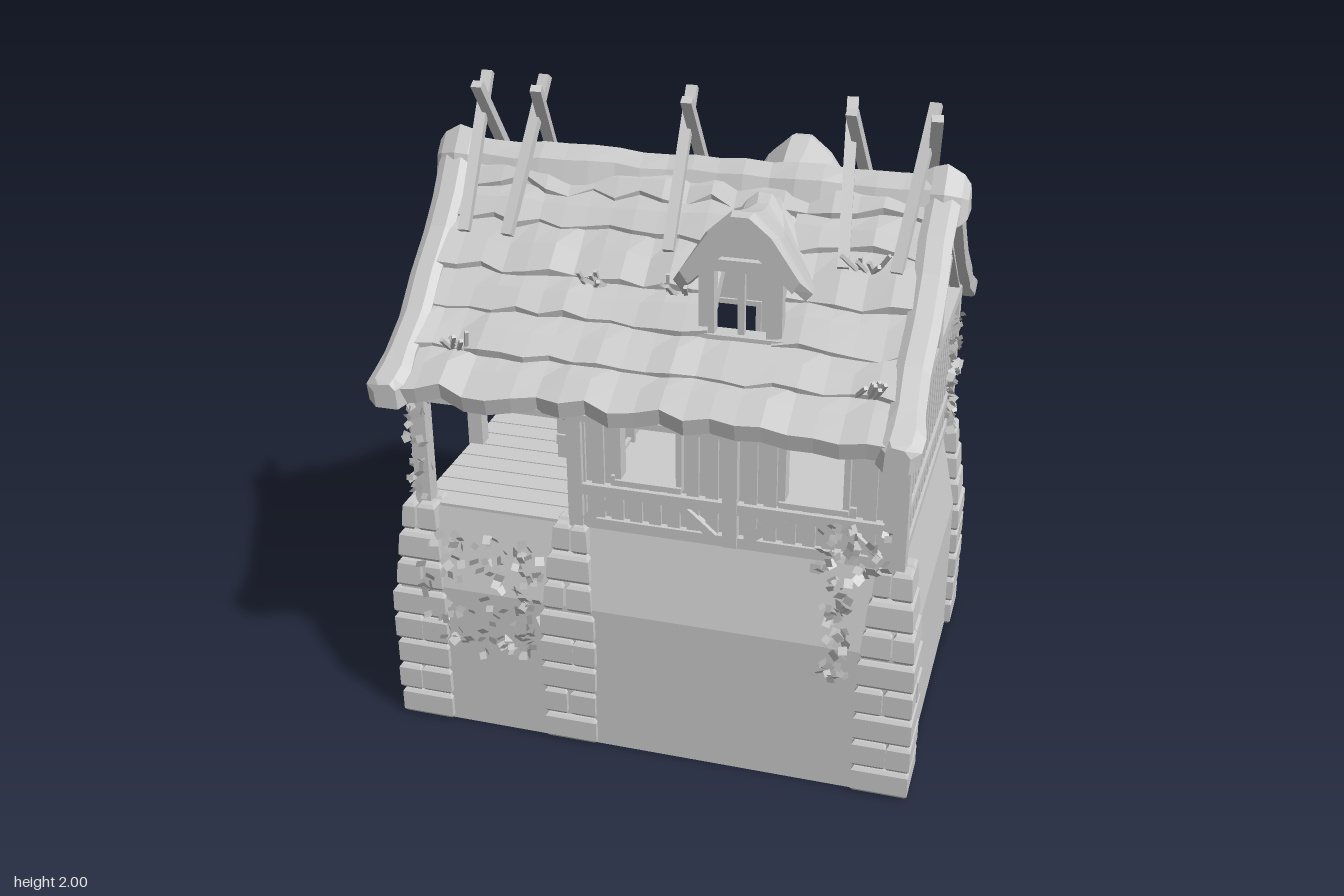
import * as THREE from 'three';
import { mergeGeometries } from 'three/addons/utils/BufferGeometryUtils.js';

const solid = new THREE.MeshStandardMaterial({ color: 0xcccccc, flatShading: true });
const sheet = new THREE.MeshStandardMaterial({ color: 0xcccccc, flatShading: true, side: THREE.DoubleSide });
const V = (x, y, z) => new THREE.Vector3(x, y, z);

let seed = 7;
const rnd = () => (seed = (seed * 16807) % 2147483647) / 2147483647;
const jit = (a) => (rnd() - 0.5) * 2 * a;

function add(parent, name, geo, mat = solid) {
  const m = new THREE.Mesh(geo, mat);
  m.name = name;
  parent.add(m);
  return m;
}
function part(parent, name) {
  const g = new THREE.Group();
  g.name = name;
  parent.add(g);
  return g;
}
// Box given by its minimum and maximum corners
function box(parent, name, x0, x1, y0, y1, z0, z1) {
  const m = add(parent, name, new THREE.BoxGeometry(x1 - x0, y1 - y0, z1 - z0));
  m.position.set((x0 + x1) / 2, (y0 + y1) / 2, (z0 + z1) / 2);
  return m;
}
// Square timber between two points of the parent's space
function beam(parent, name, a, b, w = 0.03, d = w) {
  const m = add(parent, name, new THREE.BoxGeometry(w, d, a.distanceTo(b)));
  m.position.copy(a).add(b).multiplyScalar(0.5);
  m.quaternion.setFromRotationMatrix(new THREE.Matrix4().lookAt(b, a, m.up));
}
// Skin over closed rings of points
function loft(rings, caps = true) {
  const n = rings[0].length, idx = [];
  for (let r = 0; r < rings.length - 1; r++)
    for (let i = 0; i < n; i++) {
      const a = r * n + i, b = r * n + (i + 1) % n;
      idx.push(a, b, a + n, b, b + n, a + n);
    }
  if (caps) for (const o of [0, (rings.length - 1) * n])
    for (let i = 1; i < n - 1; i++) idx.push(o, o + i, o + i + 1);
  const g = new THREE.BufferGeometry().setFromPoints(rings.flat());
  g.setIndex(idx);
  const flat = g.toNonIndexed();
  flat.computeVertexNormals();
  return flat;
}

// Height of the roof surface at a distance z from the ridge
const PROFILE = [[0, 1.79], [0.1, 1.68], [0.22, 1.55], [0.44, 1.36], [0.67, 1.215]];
function roofY(z) {
  let i = 0;
  while (i < 3 && z > PROFILE[i + 1][0]) i++;
  const [a, ya] = PROFILE[i], [b, yb] = PROFILE[i + 1];
  return ya + (yb - ya) * (z - a) / (b - a);
}

// Tapered stone pier of uneven blocks, each a little rounded off at top and bottom
function pier(parent, cx, cz) {
  const g = part(parent, 'stonePier');
  const taper = (y) => Math.max(0, (y - 0.47) / 0.3);
  for (let k = 0; k < 8; k++) {
    const y = k * 0.0965, t = taper(y + 0.03), w = 0.174 - 0.068 * t, n = k % 2 ? 2 : 1;
    const z = cz - Math.sign(cz) * 0.018 * t, split = jit(0.02), slope = (0.174 - 0.068 * taper(y + 0.0965)) / w;
    for (let i = 0; i < n; i++) for (let j = 0; j < n; j++) {
      const cut = (q) => n === 1 ? [-w / 2, w / 2] : q ? [split + 0.003, w / 2] : [-w / 2, split - 0.003];
      const [a, b] = cut(i), [c, d] = cut(j), e = jit(0.003);
      const sx = (b - a) / 2 + e, sz = (d - c) / 2 + e;
      const rings = [[0.003, 0.008], [0.014, 0], [0.083, 0], [0.094, 0.008]].map(([h, inset]) => {
        const f = 1 + (slope - 1) * h / 0.0965, X = (sx - inset) * f, Z = (sz - inset) * f;
        const ox = cx + (a + b) / 2 * f, oz = z + (c + d) / 2 * f;
        return [[-1, -1], [-1, 1], [1, 1], [1, -1]].map(([p, q]) => V(ox + p * X, y + h, oz + q * Z));
      });
      add(g, 'stone', loft(rings), sheet);
    }
  }
}

// Board wall facing +z, centred on x, with battens and rectangular openings [x0, x1, y0, y1]
function plankWall(parent, name, width, openings) {
  const g = part(parent, name), h = width / 2, y0 = 0.765, y1 = 1.25;
  const rect = (S, a, b, c, d) => new S([[a, c], [b, c], [b, d], [a, d]].map((p) => new THREE.Vector2(...p)));
  const shape = rect(THREE.Shape, -h, h, y0, y1);
  for (const o of openings) shape.holes.push(rect(THREE.Path, ...o));
  add(g, 'boards', new THREE.ExtrudeGeometry(shape, { depth: 0.015, bevelEnabled: false }));
  const n = Math.round(width / 0.058);
  for (let i = 0; i < n; i++) {
    const x = -h + (i + 0.5) * width / n, a = x - 0.019, b = x + 0.019;
    const o = openings.find((q) => b > q[0] && a < q[1]);
    const spans = o ? [[y0, o[2]], [o[3], y1]] : [[y0, y1]];
    for (const [c, d] of spans) if (d - c > 0.02) box(g, 'batten', a, b, c, d, 0.01, 0.027);
  }
  for (const [a, b, c, d] of openings) {
    const f = 0.018;
    box(g, 'frame', a - f, a, c - f, d + f, -0.01, 0.04);
    box(g, 'frame', b, b + f, c - f, d + f, -0.01, 0.04);
    box(g, 'lintel', a - f, b + f, d, d + f, -0.01, 0.045);
    if (c > 0.8) box(g, 'sill', a - f, b + f, c - f, c, -0.01, 0.05);
  }
  return g;
}

function trussGable(parent, x) {
  const g = part(parent, 'gableTruss');
  beam(g, 'tieBeam', V(x, 1.25, -0.53), V(x, 1.25, 0.53), 0.05, 0.04);
  box(g, 'kingPost', x - 0.025, x + 0.025, 1.25, 1.7, -0.035, 0.035);
  for (const s of [-1, 1]) {
    beam(g, 'rafter', V(x, 1.25, s * 0.53), V(x, 1.69, 0), 0.04);
    beam(g, 'strut', V(x, 1.27, s * 0.03), V(x, 1.47, s * 0.25), 0.03);
    box(g, 'queenPost', x - 0.015, x + 0.015, 1.37, 1.57, s * 0.135 - 0.013, s * 0.135 + 0.013);
  }
}

function thatch(parent, s) {
  const g = part(parent, 'thatchSlope');
  // Courses from eave to ridge: [upper z, lower z, split around the dormer]
  const courses = [[0.5, 0.65, 0], [0.39, 0.53, 0], [0.28, 0.41, 1], [0.16, 0.3, 1], [0.08, 0.185, 1], [0.03, 0.1, 0]];
  for (const [u, l, gap] of courses) {
    for (const [a, b] of gap ? [[-0.74, 0.15], [0.34, 0.74]] : [[-0.74, 0.74]]) {
      const n = Math.round((b - a) / 0.075), rings = [];
      for (let i = 0; i <= n; i++) {
        const x = a + (b - a) * i / n, zl = l + jit(0.015), f = jit(0.012), y = roofY(zl);
        rings.push([V(x, roofY(u) - 0.005, s * u), V(x, roofY((u + l) / 2) + 0.012 + f, s * (u + l) / 2),
          V(x, y + 0.016 + f, s * zl), V(x, y - 0.035 + f, s * (zl - 0.01)), V(x, roofY(u) - 0.06, s * u)]);
      }
      add(g, 'thatchCourse', loft(rings), sheet);
    }
  }
  // Battens and rafters carrying the thatch
  for (const z of [0.47, 0.55, 0.62]) beam(g, 'batten', V(-0.74, roofY(z) - 0.055, s * z), V(0.74, roofY(z) - 0.055, s * z), 0.02);
  for (let i = 0; i < 9; i++) {
    const x = -0.68 + i * 0.17;
    if (x < 0.1 || x > 0.38) beam(g, 'rafter', V(x, 1.67, 0), V(x, 1.2, s * 0.6), 0.022);
  }
  // Thick rolls along the gable edges, swelling at the eaves
  for (const q of [-1, 1]) {
    const rings = [0, 0.06, 0.14, 0.22, 0.33, 0.44, 0.55, 0.61, 0.65, 0.67].map((z) => {
      const y = roofY(z), o = jit(0.006), k = z > 0.66 ? 0.7 : z > 0.6 ? 1.2 : 1;
      return [[-0.055, -0.05], [-0.05, 0.01], [-0.025, 0.028], [0.025, 0.023], [0.05, 0], [0.045, -0.05]]
        .map(([x, d]) => V(q * (0.758 + o + x * k), y + d, s * z));
    });
    add(g, 'gableRoll', loft(rings), sheet);
  }
}

function dormer(parent, s) {
  const g = part(parent, 'dormer'), c = 0.245, zf = s * 0.38;
  // Thatched hood: [z, half width, eave height, peak height]
  const rings = [[0.42, 0.175, 1.59, 1.775], [0.38, 0.205, 1.545, 1.78], [0.3, 0.195, 1.53, 1.755], [0.22, 0.16, 1.545, 1.735],
    [0.14, 0.115, 1.63, 1.725], [0.06, 0.06, 1.71, 1.735]].map(([z, w, e, p]) => {
    const m = e + (p - e) * 0.66;
    return [[-w, e], [-w * 0.52, m], [-w * 0.15, p - 0.01], [w * 0.15, p - 0.01], [w * 0.52, m], [w, e],
      [w * 0.9, e - 0.025], [w * 0.42, m - 0.06], [0, p - 0.06], [-w * 0.42, m - 0.06], [-w * 0.9, e - 0.025]]
      .map(([x, y]) => V(c + x, y, s * z));
  });
  add(g, 'dormerThatch', loft(rings, false), sheet);
  const lip = new THREE.Shape(rings[0].map((p) => new THREE.Vector2(p.x, p.y)));
  add(g, 'hoodFace', new THREE.ShapeGeometry(lip), sheet).position.z = s * 0.42;
  // Window frame, cheeks and little gable
  for (const q of [-1, 1]) {
    box(g, 'post', c + q * 0.1 - 0.023, c + q * 0.1 + 0.023, 1.37, 1.64, zf - 0.02, zf + 0.02);
    const cheek = new THREE.Shape([[0.38, 1.37], [0.38, 1.62], [0.16, 1.62]].map((p) => new THREE.Vector2(...p)));
    const m = add(g, 'cheek', new THREE.ShapeGeometry(cheek), sheet);
    m.rotation.y = -s * Math.PI / 2;
    m.position.x = c + q * 0.11;
    beam(g, 'bargeBoard', V(c + q * 0.16, 1.56, s * 0.4), V(c, 1.71, s * 0.4), 0.025);
  }
  box(g, 'sill', c - 0.13, c + 0.13, 1.37, 1.4, zf - 0.03, zf + 0.03);
  box(g, 'lintel', c - 0.12, c + 0.12, 1.595, 1.63, zf - 0.02, zf + 0.025);
  box(g, 'mullion', c - 0.01, c + 0.01, 1.39, 1.6, zf - 0.01, zf + 0.01);
  const tri = new THREE.Shape([[-0.12, 1.62], [0.12, 1.62], [0, 1.73]].map(([x, y]) => new THREE.Vector2(c + x, y)));
  add(g, 'gablePanel', new THREE.ShapeGeometry(tri), sheet).position.z = zf;
}

// Loose leaves scattered in a box around a centre
function ivy(parent, n, center, spread) {
  const leaves = [];
  for (let i = 0; i < n; i++) {
    const leaf = new THREE.CircleGeometry(0.014 + 0.008 * rnd(), 4);
    leaf.rotateZ(rnd() * 3).rotateX(jit(0.8)).rotateY(jit(0.9));
    leaf.translate(...center.map((v, k) => v + jit(spread[k])));
    leaves.push(leaf);
  }
  add(parent, 'ivy', mergeGeometries(leaves), sheet);
}

export function createModel() {
  seed = 7;
  const root = new THREE.Group();
  root.name = 'timberHouse';

  // Masonry base, open below, with a wide foot and a sloping upper band
  const base = part(root, 'base');
  const ring = (x, y, z) => [V(-x, y, -z), V(-x, y, z), V(x, y, z), V(x, y, -z)];
  add(base, 'baseWall', loft([ring(0.665, 0, 0.42), ring(0.81, 0, 0.567), ring(0.81, 0.5, 0.567), ring(0.755, 0.757, 0.5)], false), sheet);
  for (const s of [-1, 1]) for (const x of [-0.745, -0.25, 0.745]) pier(base, x, s * 0.498);

  // Floor
  box(base, 'floor', -0.755, 0.755, 0.735, 0.75, -0.5, 0.5);
  for (let i = 0; i < 12; i++)
    box(base, 'floorBoard', -0.76, -0.25, 0.745, 0.76, -0.495 + i * 0.0825, -0.418 + i * 0.0825);

  // Closed room
  const room = part(root, 'room');
  const wins = [[-0.335, -0.165, 0.945, 1.13], [0.165, 0.335, 0.945, 1.13]];
  for (const s of [1, -1]) {
    const w = plankWall(room, 'longWall', 1, wins);
    w.position.set(0.25, 0, s * 0.475);
    w.rotation.y = s > 0 ? 0 : Math.PI;
    beam(w, 'sillBeam', V(-0.5, 0.78, 0.02), V(0.5, 0.78, 0.02), 0.035);
    beam(w, 'rail', V(-0.5, 0.895, 0.025), V(0.5, 0.895, 0.025), 0.035);
    beam(w, 'wallPlate', V(-0.5, 1.225, 0.02), V(0.5, 1.225, 0.02), 0.045);
    for (const x of [-0.48, 0, 0.48]) box(w, 'post', x - 0.022, x + 0.022, 0.765, 1.25, -0.01, 0.045);
    for (const x of [-0.25, 0.25]) for (const q of [-1, 1])
      beam(w, 'brace', V(x + q * 0.2, 0.79, 0.03), V(x + q * 0.09, 0.885, 0.03), 0.025);
  }
  const end = plankWall(room, 'endWall', 0.98, []);
  end.rotation.y = Math.PI / 2;
  end.position.x = 0.73;
  beam(end, 'rail', V(-0.5, 0.9, 0.022), V(0.5, 0.9, 0.022), 0.028);
  beam(end, 'sillBeam', V(-0.5, 0.78, 0.02), V(0.5, 0.78, 0.02), 0.03);
  const inner = plankWall(room, 'porchWall', 0.96, [[-0.08, 0.1, 0.77, 1.18]]);
  inner.rotation.y = -Math.PI / 2;
  inner.position.x = -0.245;
  for (const s of [-1, 1]) box(room, 'cornerPost', 0.72, 0.775, 0.76, 1.26, s * 0.495 - 0.027, s * 0.495 + 0.027);

  // Door standing open across the porch
  const door = part(root, 'door');
  for (let i = 0; i < 3; i++) box(door, 'doorBoard', -0.435 + i * 0.055, -0.383 + i * 0.055, 0.77, 1.185, 0.1, 0.118);
  for (const y of [0.84, 1.11]) box(door, 'doorBar', -0.435, -0.27, y - 0.017, y + 0.017, 0.09, 0.128);
  add(door, 'doorRing', new THREE.TorusGeometry(0.016, 0.005, 5, 10)).position.set(-0.41, 0.935, 0.13);

  // Porch posts, plates and braces
  const porch = part(root, 'porch');
  for (const z of [-0.48, 0.06, 0.48]) box(porch, 'porchPost', -0.765, -0.715, 0.755, 1.25, z - 0.025, z + 0.025);
  for (const s of [-1, 1]) {
    beam(porch, 'plate', V(-0.76, 1.235, s * 0.48), V(-0.22, 1.235, s * 0.48), 0.04);
    beam(porch, 'brace', V(-0.74, 1.1, s * 0.47), V(-0.74, 1.23, s * 0.34), 0.03);
  }

  // Crate
  const crate = part(root, 'crate');
  box(crate, 'crateBody', -0.478, -0.282, 0.77, 0.96, -0.438, -0.242);
  for (const x of [-0.475, -0.285]) for (const z of [-0.435, -0.245]) box(crate, 'crateCorner', x - 0.014, x + 0.014, 0.76, 0.97, z - 0.014, z + 0.014);
  for (const y of [0.78, 0.955]) for (const q of [0, 0.19]) {
    box(crate, 'crateRim', -0.485, -0.275, y - 0.014, y + 0.014, -0.447 + q, -0.423 + q);
    box(crate, 'crateRim', -0.487 + q, -0.463 + q, y - 0.014, y + 0.014, -0.44, -0.24);
  }
  for (const z of [-0.44, -0.24]) beam(crate, 'crateBrace', V(-0.46, 0.8, z), V(-0.3, 0.94, z), 0.02);
  for (const x of [-0.48, -0.28]) beam(crate, 'crateBrace', V(x, 0.8, -0.42), V(x, 0.94, -0.26), 0.02);

  // Roof
  const roof = part(root, 'roof');
  for (const x of [-0.75, 0.75]) trussGable(roof, x);
  for (const s of [-1, 1]) { thatch(roof, s); dormer(roof, s); }
  const cap = [];
  for (let i = 0; i <= 18; i++) {
    const e = jit(0.012), y = jit(0.007);
    cap.push([[-0.085, 1.68], [-0.05, 1.765], [0, 1.8], [0.05, 1.765], [0.085, 1.68], [0, 1.71]]
      .map(([z, h]) => V(-0.72 + i * 0.08, h + y, z + Math.sign(z) * e)));
  }
  add(roof, 'ridgeCap', loft(cap), sheet);
  for (const q of [-1, 1]) {
    const knob = [[0.69, 0.8], [0.72, 0.95], [0.76, 1.05], [0.81, 0.8], [0.83, 0.55]].map(([x, k]) =>
      [[-0.085, 1.66], [-0.06, 1.76], [0, 1.83], [0.06, 1.76], [0.085, 1.66], [0, 1.7]].map(([z, y]) => V(q * x, 1.72 + (y - 1.72) * k, z * k)));
    add(roof, 'ridgeEnd', loft(knob), sheet);
  }

  // Crossed ridge poles: [foot x, top x]
  for (const [a, b] of [[-0.67, -0.69], [-0.53, -0.5], [-0.02, -0.03], [0.505, 0.46], [0.66, 0.705]])
    for (const s of [-1, 1])
      beam(roof, 'ridgePole', V(a + (s < 0 ? 0.02 : 0), 1.57, s * 0.225), V(b + (s < 0 ? 0.025 : 0), 1.988, -s * 0.075), 0.034, 0.026);

  // Straw tufts
  for (const [x, z] of [[-0.22, -0.54], [0.47, -0.54], [0.65, -0.54], [-0.65, -0.33], [-0.5, -0.33], [-0.08, -0.2],
    [0.57, -0.14], [-0.22, 0.32], [0.03, 0.32], [0.57, 0.22], [-0.58, 0.53], [0.63, 0.53]])
    for (let i = 0; i < 6; i++) {
      const s = Math.sign(z), p = V(x + jit(0.035), roofY(Math.abs(z)), z - s * 0.02);
      beam(roof, 'straw', p, p.clone().add(V(jit(0.05), 0.045 + 0.03 * rnd(), s * (0.02 + 0.06 * rnd()))), 0.011);
    }

  // Climbing plants
  ivy(root, 45, [-0.65, 0.52, 0.59], [0.08, 0.2, 0.02]);
  ivy(root, 80, [-0.44, 0.5, 0.58], [0.11, 0.22, 0.015]);
  ivy(root, 60, [-0.75, 1.0, 0.505], [0.03, 0.21, 0.035]);
  ivy(root, 50, [0.59, 0.58, 0.585], [0.04, 0.17, 0.02]);
  ivy(root, 45, [0.62, 0.82, 0.535], [0.11, 0.08, 0.02]);
  ivy(root, 60, [0.775, 1.0, -0.45], [0.012, 0.22, 0.06]);
  ivy(root, 120, [0.24, 0.5, -0.585], [0.18, 0.24, 0.015]);
  return root;
}
